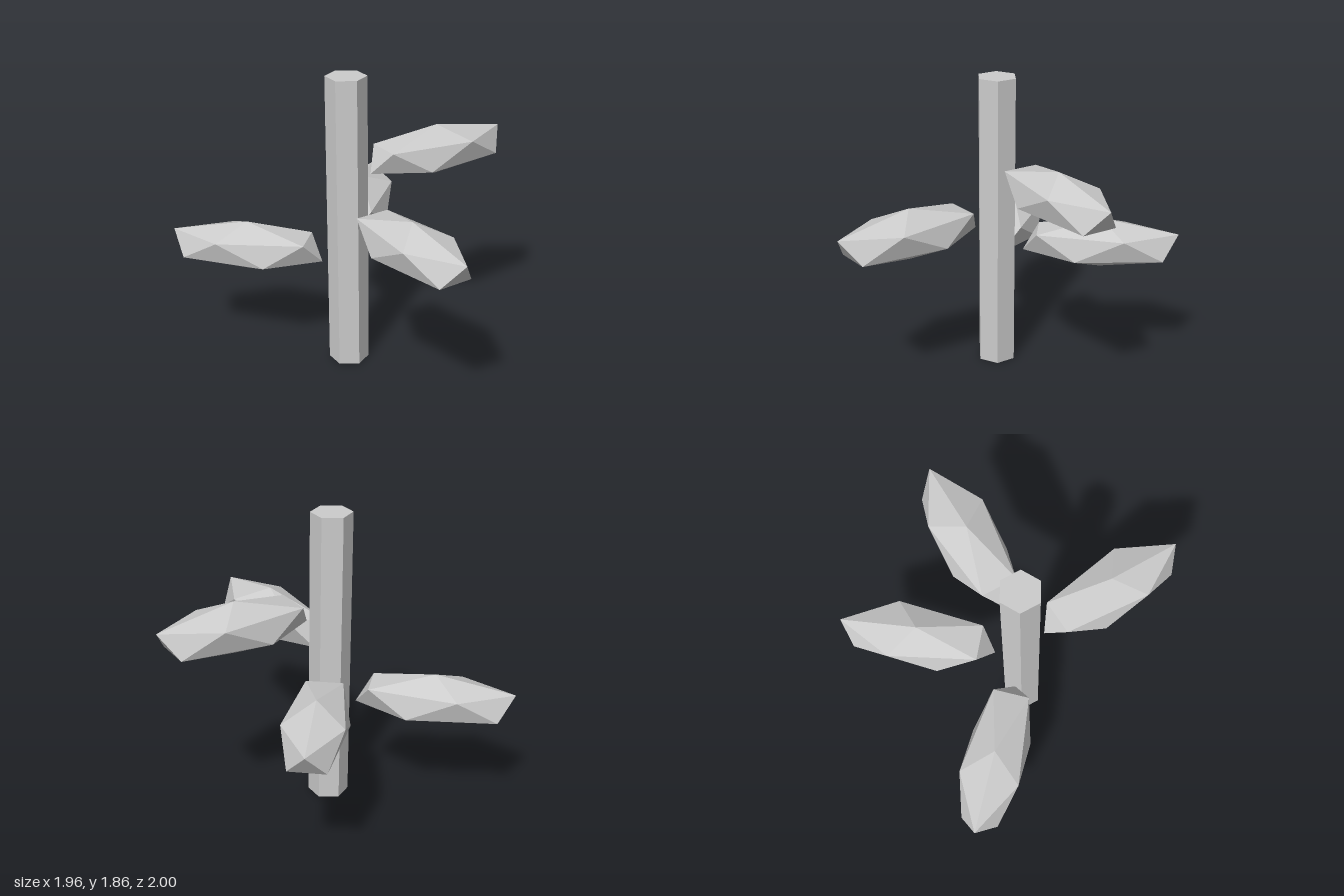
import * as THREE from 'three';

const TRUNK = { x: -0.15, z: -0.125, radius: 0.125, height: 1.86 };
const LEAF_REACH = 0.645; // trunk axis to leaf centre

// Each leaf: height of its centre and heading around the trunk
const LEAVES = [
  { y: 0.725, heading: 2.39 },
  { y: 0.825, heading: 0.889 },
  { y: 1.007, heading: -1.5 },
  { y: 1.288, heading: 0 },
];

export function createModel() {
  const model = new THREE.Group();
  model.name = 'tree';
  const material = new THREE.MeshStandardMaterial({ color: 0xcccccc, flatShading: true });

  // Hexagonal trunk
  const trunk = new THREE.Mesh(
    new THREE.CylinderGeometry(TRUNK.radius, TRUNK.radius, TRUNK.height, 6),
    material
  );
  trunk.name = 'trunk';
  trunk.position.set(TRUNK.x, TRUNK.height / 2, TRUNK.z);
  model.add(trunk);

  // Leaf clump: icosahedron stood on a vertex, stretched outward and flattened
  const leafGeometry = new THREE.IcosahedronGeometry(1, 0);
  leafGeometry.rotateZ(-Math.atan(2 / (1 + Math.sqrt(5))));
  leafGeometry.scale(0.537, 0.16, 0.212);

  LEAVES.forEach(({ y, heading }, i) => {
    const leaf = new THREE.Mesh(leafGeometry, material);
    leaf.name = `leafClump${i + 1}`;
    leaf.position.set(
      TRUNK.x + Math.cos(heading) * LEAF_REACH,
      y,
      TRUNK.z - Math.sin(heading) * LEAF_REACH
    );
    leaf.rotation.y = heading;
    model.add(leaf);
  });

  return model;
}
